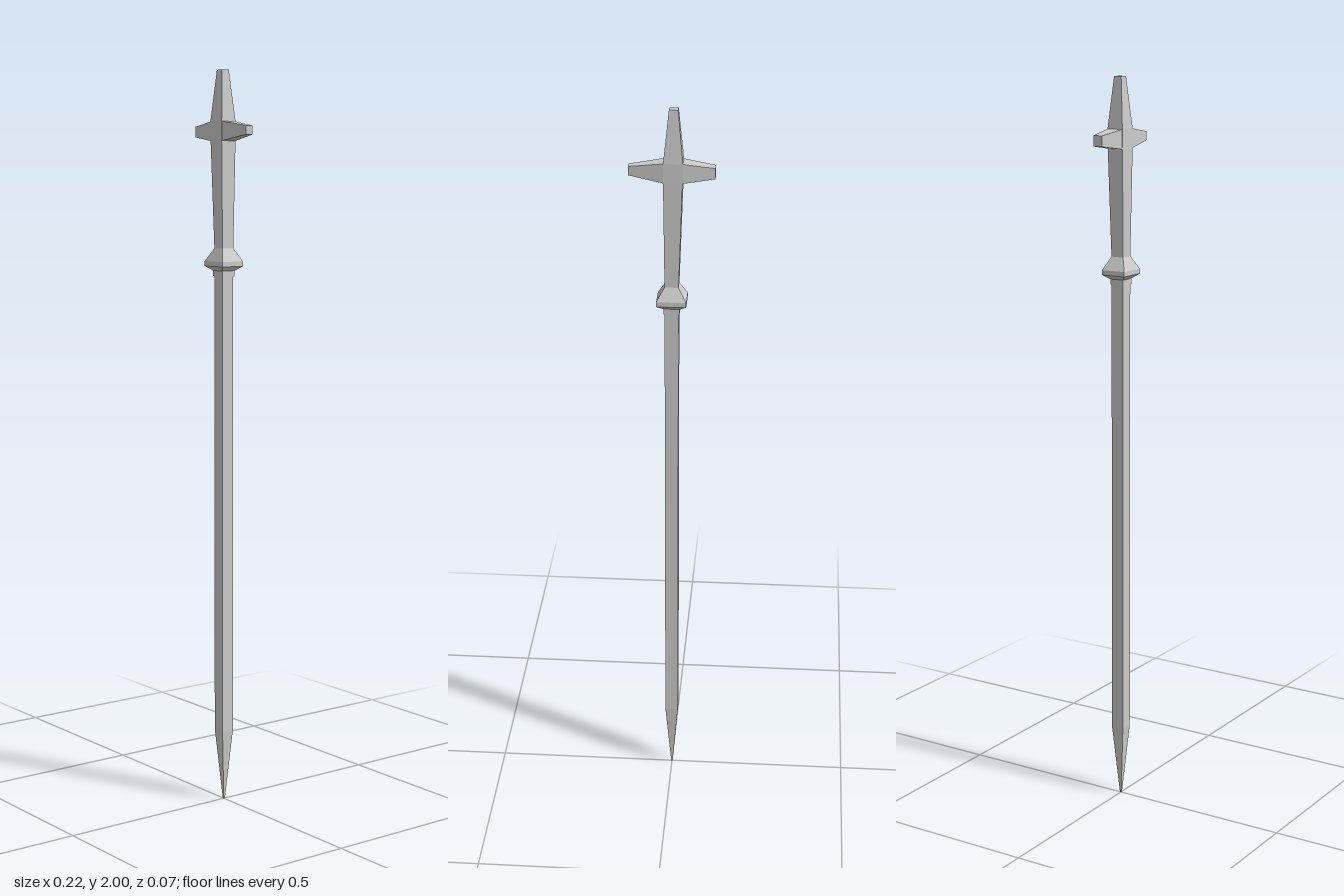
import * as THREE from 'three';

const material = new THREE.MeshStandardMaterial({ color: 0xcccccc, flatShading: true });

// Closed loft through rectangular rings [y, x0, x1, z0, z1], listed in rising y
function loft(name, rings) {
  const points = [], index = [];
  for (const [y, x0, x1, z0, z1] of rings) {
    points.push(x0, y, z1, x1, y, z1, x1, y, z0, x0, y, z0);
  }
  for (let r = 0; r < rings.length - 1; r++) {
    for (let i = 0; i < 4; i++) {
      const a = r * 4 + i, b = r * 4 + (i + 1) % 4;
      index.push(a, b, b + 4, a, b + 4, a + 4);
    }
  }
  const t = (rings.length - 1) * 4;
  index.push(0, 2, 1, 0, 3, 2, t, t + 1, t + 2, t, t + 2, t + 3);
  const indexed = new THREE.BufferGeometry();
  indexed.setAttribute('position', new THREE.Float32BufferAttribute(points, 3));
  indexed.setIndex(index);
  const geometry = indexed.toNonIndexed();
  geometry.computeVertexNormals();
  const mesh = new THREE.Mesh(geometry, material);
  mesh.name = name;
  return mesh;
}

// Ring centred on the long axis
const ring = (y, hx, hz = hx) => [y, -hx, hx, -hz, hz];

export function createModel() {
  const group = new THREE.Group();
  group.name = 'sword';

  // Long square blade, tapering to its point at the ground
  group.add(loft('blade', [ring(0, 0.002), ring(0.2, 0.018), ring(1.46, 0.018)]));

  // Flared collar between blade and grip
  group.add(loft('collar', [
    ring(1.455, 0.021, 0.02), ring(1.47, 0.021, 0.02),
    ring(1.482, 0.039, 0.035), ring(1.495, 0.039, 0.035), ring(1.53, 0.018),
  ]));

  // Grip widening upward, then the tapered pommel, slightly off centre
  group.add(loft('grip', [
    [1.525, -0.018, 0.018, -0.018, 0.018],
    [1.815, -0.028, 0.021, -0.023, 0.023],
    [1.865, -0.029, 0.021, -0.023, 0.023],
  ]));
  group.add(loft('pommel', [
    [1.865, -0.029, 0.021, -0.023, 0.023],
    [2, -0.016, 0.007, -0.011, 0.011],
  ]));

  // Crossbar, lofted upright and laid along x: thickest at the grip
  const bar = loft('crossbar', [
    [-0.11, -1.853, -1.825, -0.014, 0.013],
    [-0.029, -1.865, -1.814, -0.023, 0.022],
    [0.021, -1.865, -1.814, -0.023, 0.022],
    [0.11, -1.852, -1.829, -0.011, 0.011],
  ]);
  bar.geometry.rotateZ(-Math.PI / 2);
  group.add(bar);

  return group;
}
